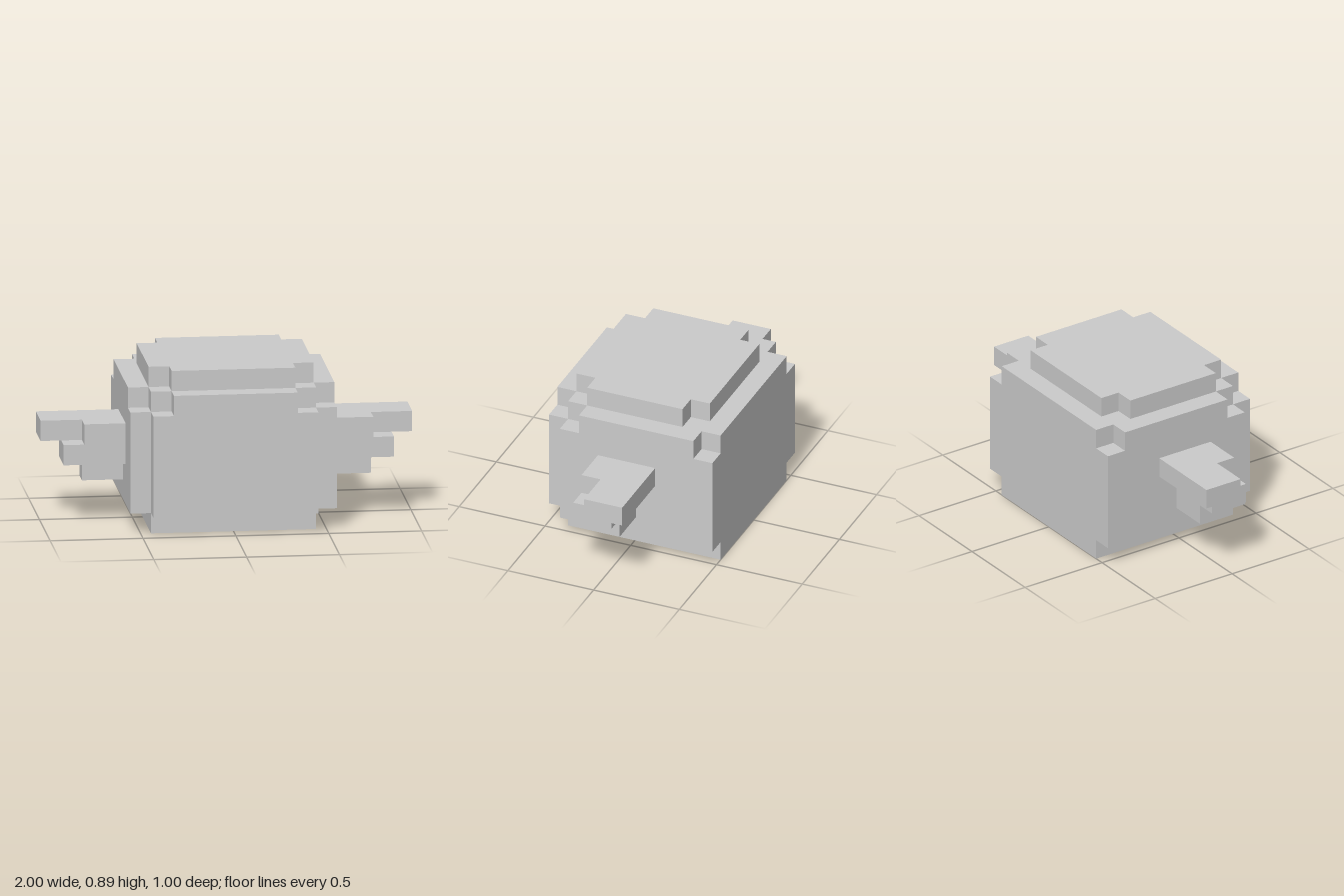
import * as THREE from 'three';

const U = 1 / 9; // one block
const material = new THREE.MeshStandardMaterial({ color: 0xcccccc, flatShading: true });

// Outline given in blocks, extruded along +z
function slab(points, depth = 1) {
  const shape = new THREE.Shape(points.map(([x, y]) => new THREE.Vector2(x, y)));
  return new THREE.ExtrudeGeometry(shape, { depth, bevelEnabled: false });
}
// Outline in (x, z), lying flat with its upper face at yTop
const flatSlab = (points, yTop) => slab(points).rotateX(Math.PI / 2).translate(0, yTop, 0);
// Outline in (z, y), standing sideways with its outer +x face at xMax
const sideSlab = (points, xMax) => slab(points).rotateY(-Math.PI / 2).translate(xMax, 0, 0);

const rect = (x0, y0, x1, y1) => [[x0, y0], [x1, y0], [x1, y1], [x0, y1]];

export function createModel() {
  const model = new THREE.Group();
  model.name = 'blockCreature';
  const add = (parent, name, geometry) => {
    const mesh = new THREE.Mesh(geometry, material);
    mesh.name = name;
    parent.add(mesh);
  };

  // Body core, with the base and back showing
  add(model, 'bodyCore', new THREE.BoxGeometry(8, 7, 8).translate(0, 3.5, -0.5));

  // Top plate with all four corners cut out
  add(model, 'topPlate', flatSlab([
    [-3, -3.5], [3, -3.5], [3, -2.5], [4, -2.5], [4, 2.5], [3, 2.5],
    [3, 3.5], [-3, 3.5], [-3, 2.5], [-4, 2.5], [-4, -2.5], [-3, -2.5],
  ], 8));

  // Front plate with its upper corners cut out
  add(model, 'frontPlate', slab([
    [-4, 1], [4, 1], [4, 6], [3, 6], [3, 7], [-3, 7], [-3, 6], [-4, 6],
  ]).translate(0, 0, 3.5));

  // Side plates with their upper corners cut out
  const sideOutline = [
    [-4.5, 1], [3.5, 1], [3.5, 6], [2.5, 6], [2.5, 7], [-3.5, 7], [-3.5, 6], [-4.5, 6],
  ];
  add(model, 'leftSidePlate', sideSlab(sideOutline, 5));
  add(model, 'rightSidePlate', sideSlab(sideOutline, -4));

  // Stepped arms, three layers each, mirrored across x
  const armLayers = [
    ['upper', [[5, -1.5], [9, -1.5], [9, 0.5], [7, 0.5], [7, 1.5], [5, 1.5]], 5],
    ['middle', rect(5, -0.5, 8, 1.5), 4],
    ['lower', rect(5, -0.5, 7, 0.5), 3],
  ];
  for (const [side, s] of [['left', 1], ['right', -1]]) {
    const arm = new THREE.Group();
    arm.name = `${side}Arm`;
    for (const [layer, outline, yTop] of armLayers) {
      add(arm, `${side}Arm ${layer} layer`, flatSlab(outline.map(([x, z]) => [x * s, z]), yTop));
    }
    model.add(arm);
  }

  model.scale.setScalar(U);
  return model;
}
